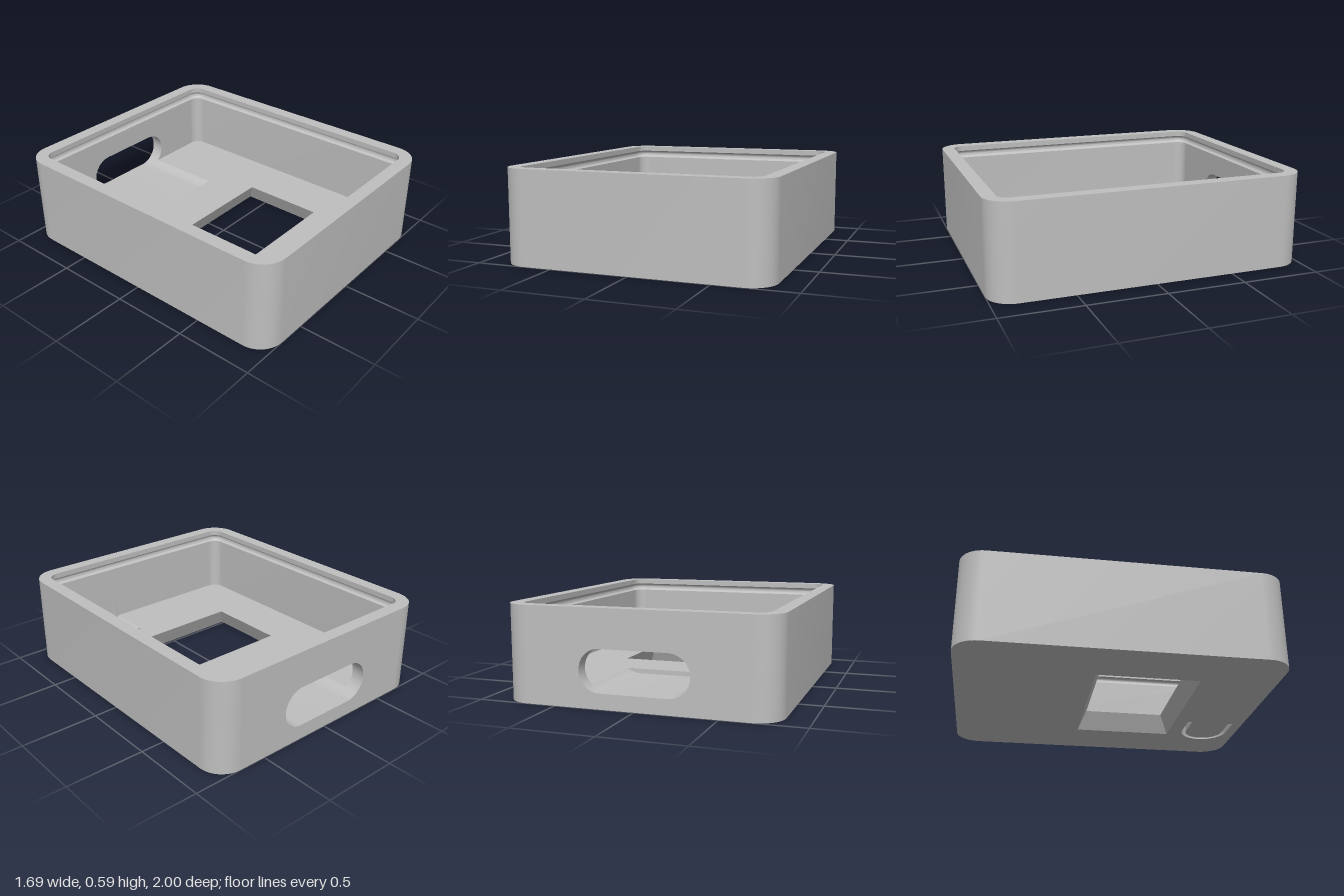
import * as THREE from 'three';
import { toCreasedNormals } from 'three/addons/utils/BufferGeometryUtils.js';

const HX = 0.845, HZ = 1, R = 0.16, TOP = 0.59;      // outer box
const IX = 0.76, IZ = 0.915, IR = 0.07;              // cavity
const FLOOR = 0.125, GROOVE = 0.53, GR = 0.025;
const V3 = (x, y, z) => new THREE.Vector3(x, y, z);

// Points [a, b] on an arc
function arc(cx, cy, r, a0, a1, n = 10) {
  return Array.from({ length: n + 1 }, (_, i) => {
    const a = a0 + (a1 - a0) * i / n;
    return [cx + r * Math.cos(a), cy + r * Math.sin(a)];
  });
}

// Rounded rectangle in x, z; starts and ends on the back edge, 11 points per corner
function roundRect(hx, hz, r) {
  const q = Math.PI / 2, x = hx - r, z = hz - r;
  return [...arc(x, -z, r, -q, 0), ...arc(x, z, r, 0, q),
    ...arc(-x, z, r, q, 2 * q), ...arc(-x, -z, r, 2 * q, 3 * q)];
}

const atY = (pts, y) => pts.map(([x, z]) => V3(x, y, z));
const atZ = (pts, z) => pts.map(([x, y]) => V3(x, y, z));

// Surface through rings that have equal point counts
function loft(rings, closed) {
  const n = rings[0].length, pos = [], idx = [];
  rings.forEach(ring => ring.forEach(p => pos.push(p.x, p.y, p.z)));
  for (let j = 0; j < rings.length - 1; j++) {
    for (let i = 0; i < (closed ? n : n - 1); i++) {
      const k = (i + 1) % n, a = j * n + i, b = j * n + k;
      idx.push(a, b, b + n, a, b + n, a + n);
    }
  }
  const g = new THREE.BufferGeometry();
  g.setAttribute('position', new THREE.Float32BufferAttribute(pos, 3));
  g.setIndex(idx);
  return toCreasedNormals(g, 0.5);
}

function shapeGeo(pts, holes = []) {
  const v2 = list => list.map(([a, b]) => new THREE.Vector2(a, b));
  const s = new THREE.Shape(v2(pts));
  holes.forEach(h => s.holes.push(new THREE.Path(v2(h))));
  return new THREE.ShapeGeometry(s);
}

// Horizontal sheet from x, z points, facing up or down
function sheet(pts, holes, y, up) {
  const f = list => list.map(([x, z]) => [x, up ? -z : z]);
  return shapeGeo(f(pts), holes.map(f)).rotateX(up ? -Math.PI / 2 : Math.PI / 2).translate(0, y, 0);
}

// Vertical sheet from x, y points, facing front or back
function panel(pts, holes, z, front) {
  const f = list => list.map(([x, y]) => [front ? x : -x, y]);
  const g = shapeGeo(f(pts), holes.map(f));
  if (!front) g.rotateY(Math.PI);
  return g.translate(0, 0, z);
}

export function createModel() {
  const grey = new THREE.MeshStandardMaterial({ color: 0xbfbfbf, side: THREE.DoubleSide });
  grey.name = 'grey plastic';
  const model = new THREE.Group();
  model.name = 'enclosure';
  const add = (name, geo) => {
    const m = new THREE.Mesh(geo, grey);
    m.name = name;
    model.add(m);
    return m;
  };

  const outer = roundRect(HX, HZ, R), inner = roundRect(IX, IZ, IR);
  const lipBase = GROOVE - GR;

  // Port opening, split where the floor meets it
  const px = 0.21, py = 0.225, pr = 0.13;
  const a0 = -Math.asin((py - FLOOR) / pr), q = Math.PI / 2;
  const portUpper = [...arc(px, py, pr, a0, q), ...arc(-px, py, pr, q, Math.PI - a0)];
  const portLower = [...arc(-px, py, pr, Math.PI - a0, 3 * q, 6), ...arc(px, py, pr, 3 * q, 4 * q + a0, 6)];
  const port = [...portUpper, ...portLower.slice(1, -1)];
  const recessX = portUpper[0][0], recessZ = -0.39;

  // Window, flared towards the underside
  const wx = 0.43, wz = 0.2725, wc = 0.1875, flare = 0.055;
  const rect = (hx, hz) => [[hx, wc - hz], [hx, wc + hz], [-hx, wc + hz], [-hx, wc - hz]];
  const windowTop = rect(wx, wz), windowBottom = rect(wx + flare, wz + flare);

  // U-shaped slit round the push tongue
  const bx = 0.395, bz = 0.77, x0 = 0.215, x1 = 0.295, ro = 0.16, ri = 0.13;
  const tongueY = 0.095, pocketY = 0.27;
  const slitOuter = [[x0, bz - ro], ...arc(bx, bz, ro, -q, q, 24), [x0, bz + ro]];
  const tongueFlat = [[x1, bz - ri], ...arc(bx, bz, ri, -q, q, 24), [x1, bz + ri]];
  const slitInner = [[x0, bz - ri], ...tongueFlat, [x0, bz + ri]].reverse();
  const slit = [...slitOuter, ...slitInner];
  const cutX = bx + Math.sqrt(ro * ro - (IZ - bz) ** 2);

  // Outer shell
  add('outerWall', loft([atY(outer, TOP), atY(outer, 0)], false));
  const ox = HX - R;
  add('backFace', panel([[-ox, 0], [ox, 0], [ox, TOP], [-ox, TOP]], [port], -HZ, false));
  add('underside', sheet(outer, [windowBottom, slit], 0, false));

  // Inner lip with round snap groove, then flat rim
  const rings = [atY(inner, lipBase)];
  arc(0, GROOVE, GR, -q, q, 8).slice(1, -1).forEach(([d, y]) =>
    rings.push(atY(roundRect(IX + d, IZ + d, IR + d), y)));
  rings.push(atY(inner, GROOVE + GR), atY(inner, TOP), atY(outer, TOP));
  add('rimAndGroove', loft(rings, true));

  // Cavity walls
  [[0, 22, 'innerWallLeft'], [22, 44, 'innerWallRight']].forEach(([s, e, name]) => {
    const part = inner.slice(s, e);
    add(name, loft([atY(part, FLOOR), atY(part, lipBase)], false));
  });
  const ix = IX - IR;
  add('innerBackWall', panel(
    [[-ix, FLOOR], ...portUpper.slice().reverse(), [ix, FLOOR], [ix, lipBase], [-ix, lipBase]], [], -IZ, true));
  add('innerFrontWall', panel([[-ix, FLOOR], [x0, FLOOR], [x0, pocketY], [cutX, pocketY],
    [cutX, FLOOR], [ix, FLOOR], [ix, lipBase], [-ix, lipBase]], [], IZ, false));

  // Floor, notched for the push tongue and the port recess
  const inside = slitOuter.filter(([, z]) => z < IZ).reverse();
  const floorOutline = [...inner.slice(0, 22), [cutX, IZ], ...inside, [x0, IZ], ...inner.slice(22),
    [-recessX, -IZ], [-recessX, recessZ], [recessX, recessZ], [recessX, -IZ]];
  add('floor', sheet(floorOutline, [windowTop], FLOOR, true));
  add('windowEdge', loft([atY(windowBottom, 0), atY(windowTop, FLOOR)], true));

  // Port tunnel and its trough in the floor
  add('portTunnel', loft([atZ(port, -IZ), atZ(port, -HZ)], true));
  add('portTrough', loft([atZ(portLower, recessZ), atZ(portLower, -IZ)], false));
  add('portTroughEnd', panel(portLower, [], recessZ, false));

  // Slit walls: they rise into a shallow pocket in the front wall
  const slitTop = slit.map(([x, z], i) => {
    if (i < slitOuter.length) return V3(x, z > IZ ? pocketY : FLOOR, z);
    return V3(x, x < x1 - 0.01 ? FLOOR : tongueY, z);
  });
  add('slitWalls', loft([atY(slit, 0), slitTop], true));
  const pocket = [[x0, IZ], [cutX, IZ], ...slitOuter.filter(([, z]) => z > IZ)];
  add('pocketCeiling', sheet(pocket, [], pocketY, false));

  // Push tongue with ramp and button
  add('tongue', sheet(tongueFlat, [], tongueY, true));
  add('tongueRamp', loft([
    [V3(x0, FLOOR, bz - ri), V3(x0, FLOOR, bz + ri)],
    [V3(x1, tongueY, bz - ri), V3(x1, tongueY, bz + ri)]], false));
  const profile = [[0.1, 0], [0.098, 0.02], [0.088, 0.042], [0.073, 0.058], [0.058, 0.067], [0, 0.067]]
    .map(([r, y]) => new THREE.Vector2(r, y));
  add('button', toCreasedNormals(new THREE.LatheGeometry(profile, 40), 0.5)).position.set(bx, tongueY, bz);

  return model;
}
